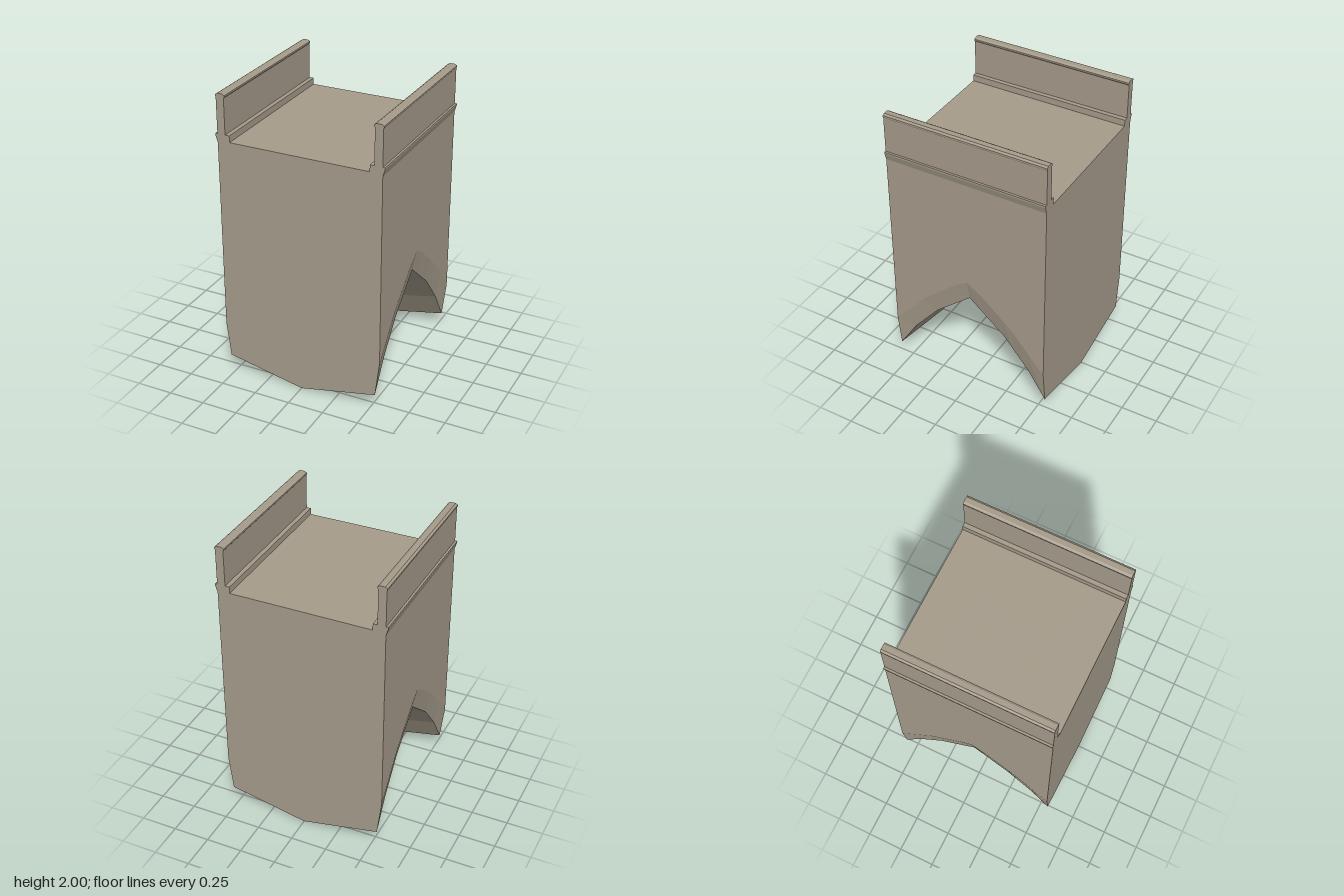
import * as THREE from 'three';

const HALF = 0.565; // half width and half depth of the block
const DECK = 1.685;

// Height along a polyline of [distance from the middle, y]
function heightAt(line, d) {
  for (let i = 1; i < line.length; i++) {
    const [d0, y0] = line[i - 1], [d1, y1] = line[i];
    if (d <= d1) return y0 + (y1 - y0) * (d - d0) / (d1 - d0);
  }
  return line[line.length - 1][1];
}

// Arch soffit, and the upper edge of the chamfer that follows it
const soffit = [[0, 0.643], [0.255, 0.425], [0.435, 0.207], [HALF, 0]];
const chamfer = [[0, 0.905], [0.1, 0.838], [0.33, 0.635], [HALF, 0.355]];

function sectionAt(z) {
  const d = Math.abs(z), low = heightAt(soffit, d), top = heightAt(chamfer, d);
  return [
    [0, low], [0.535, low + 0.11], [HALF, top], [HALF, DECK],
    [-HALF, DECK], [-HALF, top], [-0.535, low + 0.11],
  ].map(([x, y]) => [x, y, z]);
}

// Pier block: cross-sections lofted from back to front
function pierGeometry() {
  const half = [0.1, 0.255, 0.33, 0.435, HALF];
  const rings = [...half.map(z => -z).reverse(), 0, ...half].map(sectionAt);
  const pos = [];
  const tri = (a, b, c) => pos.push(...a, ...b, ...c);
  const n = rings[0].length;
  for (let k = 0; k < rings.length - 1; k++) {
    const r = rings[k], s = rings[k + 1];
    for (let i = 0; i < n; i++) {
      const j = (i + 1) % n;
      tri(r[i], r[j], s[j]);
      tri(r[i], s[j], s[i]);
    }
  }
  const back = rings[0], front = rings[rings.length - 1];
  for (let i = 1; i < n - 1; i++) {
    tri(back[0], back[i + 1], back[i]);
    tri(front[0], front[i], front[i + 1]);
  }
  const geo = new THREE.BufferGeometry();
  geo.setAttribute('position', new THREE.Float32BufferAttribute(pos, 3));
  geo.computeVertexNormals();
  return geo;
}

// Parapet with inner kerb, outer cornice and rounded coping
function parapetGeometry(side) {
  const profile = [
    [0.48, DECK], [HALF, DECK], [HALF, 1.67], [0.58, 1.718], [0.58, 1.73],
    [HALF, 1.73], [HALF, 1.974], [0.569, 1.98], [0.569, 1.991], [0.555, 2],
    [0.52, 2], [0.505, 1.991], [0.505, 1.98], [0.51, 1.974], [0.51, 1.73], [0.48, 1.73],
  ];
  const shape = new THREE.Shape(profile.map(([x, y]) => new THREE.Vector2(side * x, y)));
  const geo = new THREE.ExtrudeGeometry(shape, { depth: HALF * 2, bevelEnabled: false });
  return geo.translate(0, 0, -HALF);
}

export function createModel() {
  const stone = new THREE.MeshStandardMaterial({ color: 0xa59b8a, flatShading: true });
  stone.name = 'stone';
  const group = new THREE.Group();
  group.name = 'bridgeSegment';
  const add = (name, geo) => {
    const mesh = new THREE.Mesh(geo, stone);
    mesh.name = name;
    group.add(mesh);
  };
  add('archedBlock', pierGeometry());
  add('leftParapet', parapetGeometry(1));
  add('rightParapet', parapetGeometry(-1));
  return group;
}
